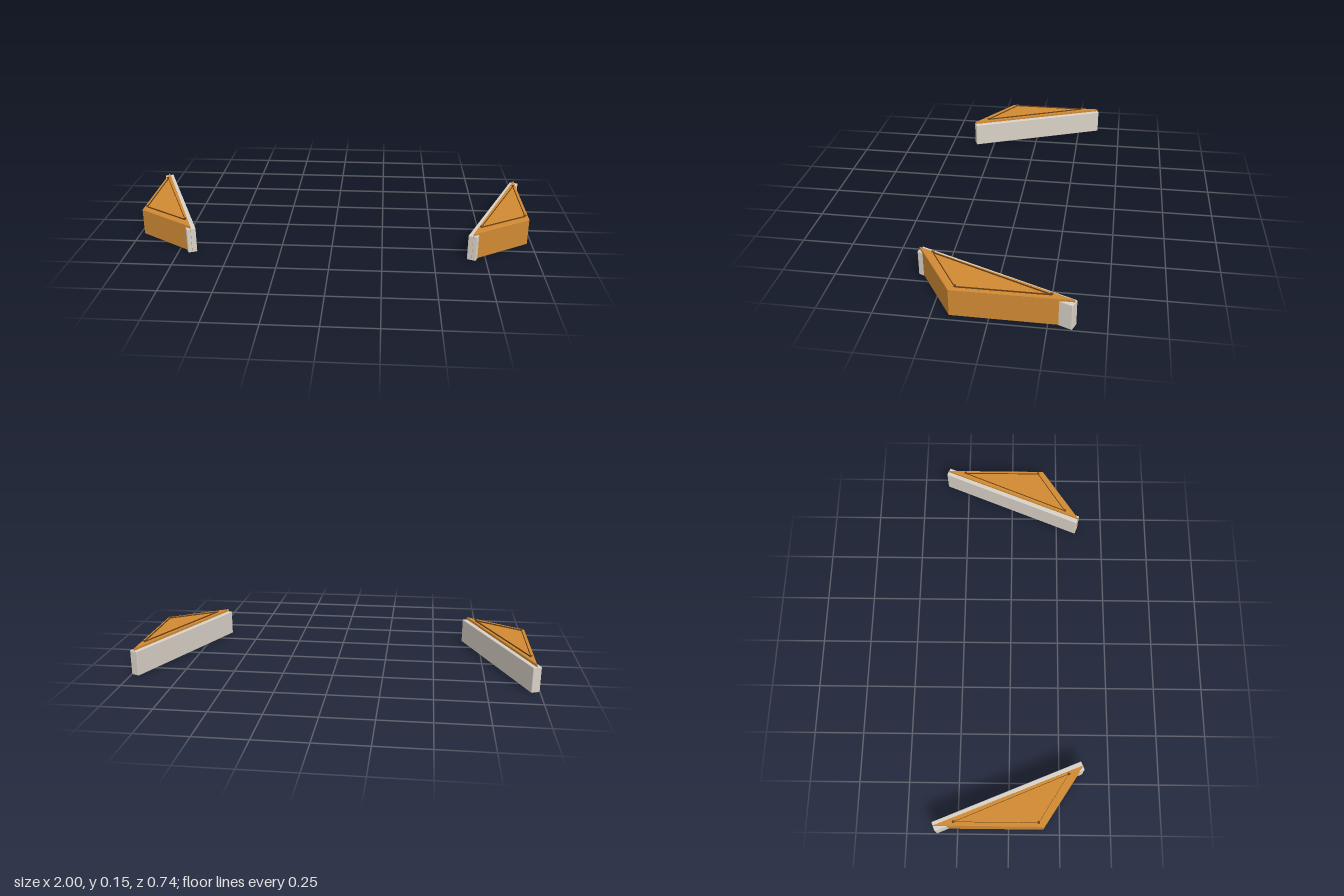
import * as THREE from 'three';
import { RoundedBoxGeometry } from 'three/addons/geometries/RoundedBoxGeometry.js';

const mat = (name, color) => {
  const m = new THREE.MeshStandardMaterial({ color });
  m.name = name;
  return m;
};

// Prism standing on a plan outline of [x, z] points, with a fine chamfer
function prism(points, y0, y1, bevel) {
  const shape = new THREE.Shape(points.map(([x, z]) => new THREE.Vector2(x, -z)));
  const g = new THREE.ExtrudeGeometry(shape, {
    depth: y1 - y0 - 2 * bevel, bevelEnabled: true, bevelSegments: 1,
    bevelSize: bevel, bevelThickness: bevel, bevelOffset: -bevel,
  });
  g.rotateX(-Math.PI / 2);
  g.translate(0, y0 + bevel, 0);
  return g;
}

export function createModel() {
  const root = new THREE.Group();
  root.name = 'pairedWedges';
  const orange = mat('orange', 0xd08a34);
  const grey = mat('warmGrey', 0xd8d1c6);
  const brown = mat('darkBrown', 0x6e4516);

  const add = (parent, name, geometry, material) => {
    const m = new THREE.Mesh(geometry, material);
    m.name = name;
    parent.add(m);
    return m;
  };

  for (const s of [1, -1]) {
    const side = new THREE.Group();
    side.name = s > 0 ? 'leftWedge' : 'rightWedge';
    root.add(side);

    // Triangular orange block
    const plan = [[0.975, -0.362], [0.975, 0.17], [0.68, 0.363]].map(([x, z]) => [x * s, z]);
    add(side, 'wedgeBody', prism(plan, 0.003, 0.14, 0.003), orange);

    // Grey board along the slanting inner edge
    const board = add(side, 'innerBoard', new RoundedBoxGeometry(0.045, 0.128, 0.782, 2, 0.004), grey);
    board.position.set(0.8285 * s, 0.064, 0);
    board.rotation.y = -s * Math.PI / 8;

    // Fine raised seam with a stud at each corner
    const corners = [[0.957, -0.263], [0.957, 0.143], [0.724, 0.29]];
    corners.forEach(([x, z], i) => {
      const [nx, nz] = corners[(i + 1) % 3];
      const dx = (nx - x) * s, dz = nz - z;
      const seam = add(side, 'topSeam', new THREE.BoxGeometry(0.0015, 0.008, Math.hypot(dx, dz)), brown);
      seam.position.set((x + nx) / 2 * s, 0.143, (z + nz) / 2);
      seam.rotation.y = Math.atan2(dx, dz);

      const stud = add(side, 'cornerStud', new THREE.CylinderGeometry(0.007, 0.007, 0.004, 10), brown);
      stud.position.set(x * s, 0.149, z);
    });
  }
  return root;
}
